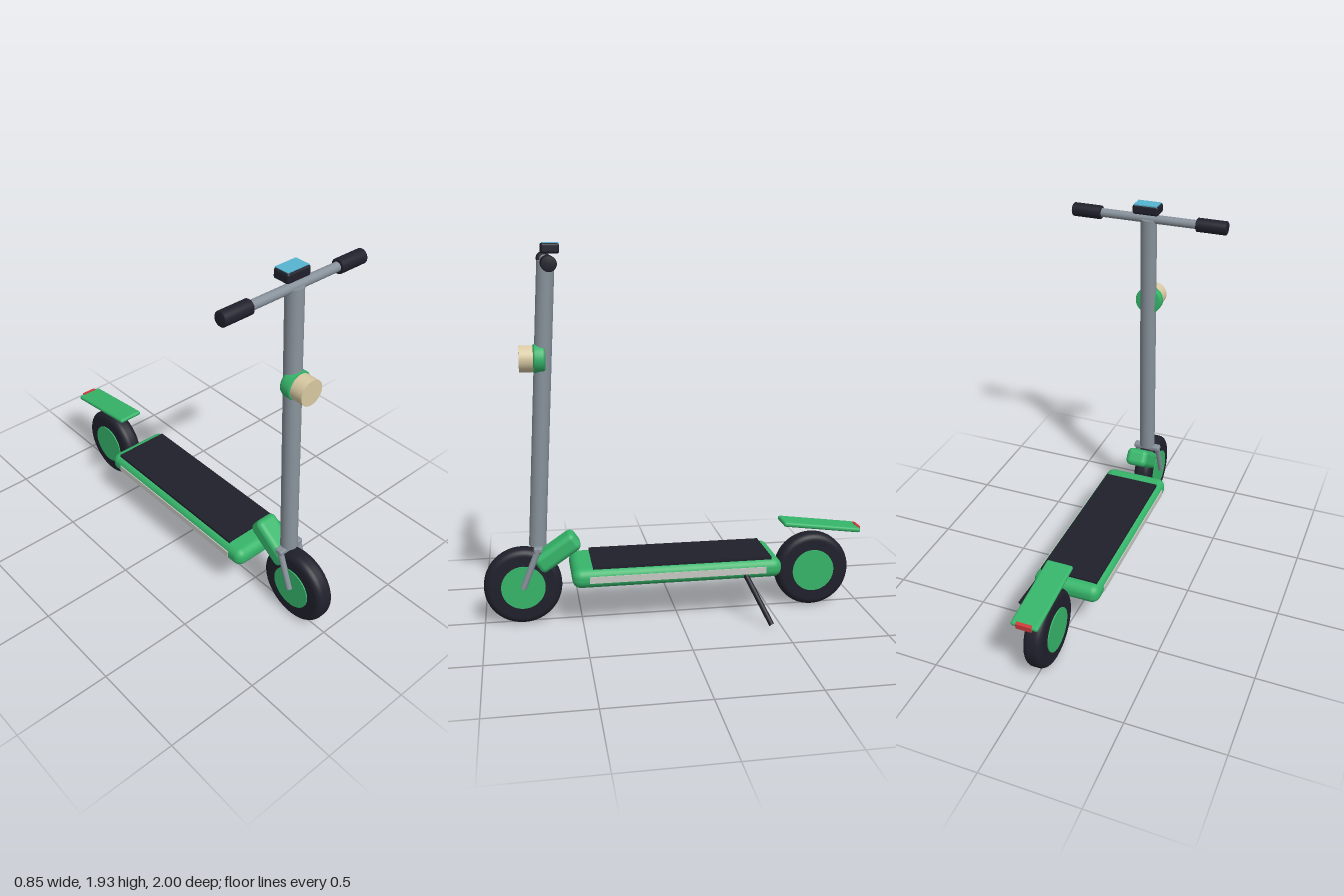
import * as THREE from 'three';
import { RoundedBoxGeometry } from 'three/addons/geometries/RoundedBoxGeometry.js';

const material = (name, color) => new THREE.MeshStandardMaterial({ name, color });

export function createModel() {
  const green = material('green paint', 0x36b56a);
  const dark = material('dark rubber', 0x20202c);
  const metal = material('grey metal', 0x87919a);
  const cream = material('lamp lens', 0xd8c9a2);
  const silver = material('side trim', 0xc8c8c4);
  const cyan = material('screen', 0x56b4d0);
  const red = material('tail light', 0xd03c3c);

  const model = new THREE.Group();
  model.name = 'kickScooter';

  const add = (name, geometry, mat, x, y, z, parent = model) => {
    const mesh = new THREE.Mesh(geometry, mat);
    mesh.name = name;
    mesh.position.set(x, y, z);
    parent.add(mesh);
    return mesh;
  };
  const rounded = (w, h, d, r) => new RoundedBoxGeometry(w, h, d, 4, r);
  // Round bar between two points
  const rod = (name, a, b, radius, mat) => {
    const from = new THREE.Vector3(...a), to = new THREE.Vector3(...b);
    const dir = to.clone().sub(from);
    const mid = from.clone().add(to).multiplyScalar(0.5);
    const mesh = add(name, new THREE.CylinderGeometry(radius, radius, dir.length(), 28), mat, mid.x, mid.y, mid.z);
    mesh.quaternion.setFromUnitVectors(new THREE.Vector3(0, 1, 0), dir.normalize());
    return mesh;
  };

  // Wheels: rounded tyre around a flat hub disc
  const tyreProfile = [new THREE.Vector2(0.1, -0.05)];
  for (let side = -1; side <= 1; side += 2) {
    for (let i = 0; i <= 6; i++) {
      const a = (side < 0 ? i - 6 : i) * Math.PI / 12;
      tyreProfile.push(new THREE.Vector2(0.165 + 0.035 * Math.cos(a), side * 0.015 + 0.035 * Math.sin(a)));
    }
  }
  tyreProfile.push(new THREE.Vector2(0.1, 0.05));
  const wheel = (name, z) => {
    const group = new THREE.Group();
    group.name = name;
    group.position.set(0, 0.2, z);
    group.rotation.z = Math.PI / 2;
    add('tyre', new THREE.LatheGeometry(tyreProfile, 48), dark, 0, 0, 0, group);
    add('hub', new THREE.CylinderGeometry(0.113, 0.113, 0.112, 40), green, 0, 0, 0, group);
    model.add(group);
  };
  wheel('frontWheel', 0.8);
  wheel('rearWheel', -0.74);

  // Deck with grip pad and side trim
  add('deck', rounded(0.36, 0.102, 1.09, 0.045), green, 0, 0.266, 0.01);
  add('gripPad', new THREE.BoxGeometry(0.308, 0.02, 0.93), dark, 0, 0.317, -0.015);
  for (const s of [-1, 1]) {
    add('sideTrim', new THREE.BoxGeometry(0.008, 0.034, 0.915), silver, s * 0.18, 0.266, 0.012);
  }

  // Neck block joining deck and stem
  const neck = add('neck', rounded(0.125, 0.1, 0.25, 0.03), green, 0, 0.37, 0.622);
  neck.rotation.x = 0.6;

  // Fork and stem
  for (const s of [-1, 1]) rod('forkLeg', [s * 0.062, 0.2, 0.8], [s * 0.062, 0.41, 0.717], 0.016, metal);
  add('forkCrown', rounded(0.156, 0.03, 0.045, 0.01), metal, 0, 0.4, 0.72);
  rod('stem', [0, 0.41, 0.72], [0, 1.845, 0.64], 0.044, metal);

  // Handlebar and grips
  rod('handlebar', [-0.4, 1.845, 0.64], [0.4, 1.845, 0.64], 0.023, metal);
  for (const s of [-1, 1]) {
    const grip = add('grip', new THREE.LatheGeometry([
      [0, -0.081], [0.031, -0.081], [0.036, -0.076], [0.036, 0.076], [0.031, 0.081], [0, 0.081],
    ].map(p => new THREE.Vector2(...p)), 28), dark, s * 0.342, 1.845, 0.64);
    grip.rotation.z = Math.PI / 2;
  }

  // Display
  add('display', rounded(0.14, 0.05, 0.09, 0.012), dark, 0, 1.905, 0.62);
  add('displayScreen', new THREE.BoxGeometry(0.125, 0.006, 0.078), cyan, 0, 1.93, 0.617);

  // Headlight
  const housing = add('headlightHousing', new THREE.LatheGeometry([
    [0, -0.03], [0.068, -0.03], [0.073, -0.018], [0.073, 0.02], [0.068, 0.03], [0, 0.03],
  ].map(p => new THREE.Vector2(...p)), 36), green, 0, 1.37, 0.685);
  housing.rotation.x = Math.PI / 2;
  const lens = add('headlightLens', new THREE.CylinderGeometry(0.066, 0.066, 0.075, 36), cream, 0, 1.37, 0.747);
  lens.rotation.x = Math.PI / 2;

  // Rear fender and tail light
  const fender = add('rearFender', rounded(0.14, 0.025, 0.426, 0.011), green, 0, 0.441, -0.782);
  fender.rotation.x = -0.13;
  const tail = add('tailLight', new THREE.BoxGeometry(0.08, 0.03, 0.018), red, 0, 0.415, -0.99);
  tail.rotation.x = -0.13;

  // Kickstand on the left side
  rod('kickstand', [0.16, 0.25, -0.335], [0.3, 0.013, -0.447], 0.014, dark);

  return model;
}
